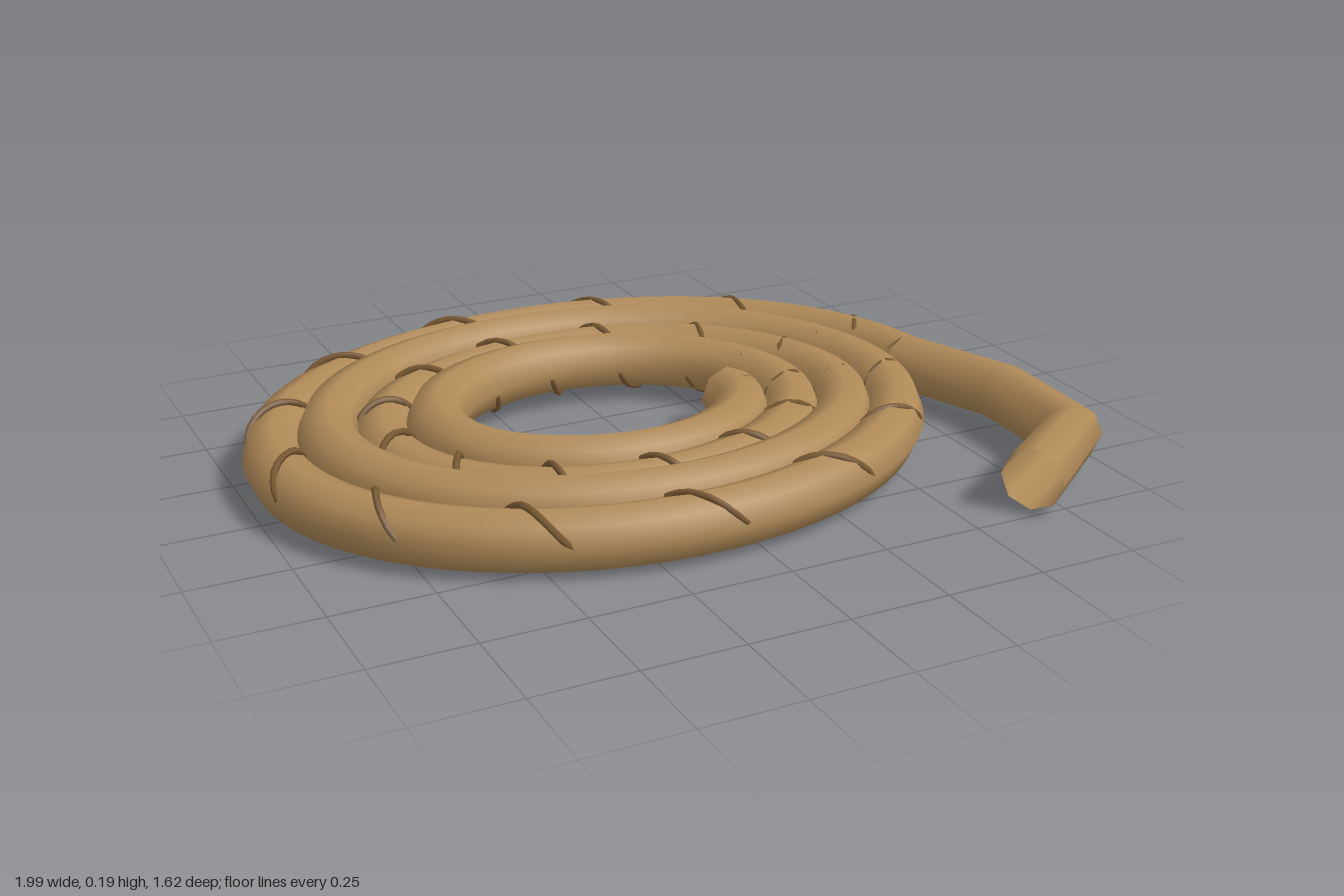
import * as THREE from 'three';

const TURNS = 4, START = 0.354, PITCH = 0.136, SQUASH = 0.8;
const ROPE = 0.076, CX = -0.092, CY = 0.1, CZ = -0.05;

class RuleCurve extends THREE.Curve {
  constructor(rule) {
    super();
    this.rule = rule;
  }
  getPoint(t, target = new THREE.Vector3()) {
    return target.copy(this.rule(t * TURNS * Math.PI * 2));
  }
}

// Squashed flat spiral; each coil bows gently up or down in turn
function spiral(angle, bow = 0.017) {
  const r = START + PITCH * angle / (Math.PI * 2);
  return new THREE.Vector3(
    CX + r * Math.cos(angle),
    CY + bow * Math.sin(angle / 2),
    CZ + r * SQUASH * Math.sin(angle));
}

// Thin strand winding round the level spiral, 13 times per coil
function strandPoint(angle) {
  const twist = 13 * angle - 1.15, R = 0.065;
  const p = spiral(angle, 0);
  p.x += R * Math.cos(twist) * Math.cos(angle);
  p.y += R * Math.sin(twist);
  p.z += R * Math.cos(twist) * Math.sin(angle);
  return p;
}

function tube(name, curve, segments, radius, sides, material) {
  const mesh = new THREE.Mesh(new THREE.TubeGeometry(curve, segments, radius, sides), material);
  mesh.name = name;
  return mesh;
}

export function createModel() {
  const group = new THREE.Group();
  group.name = 'coiledRope';
  const rope = new THREE.MeshStandardMaterial({ color: 0xb08a58, side: THREE.DoubleSide });
  const dark = new THREE.MeshStandardMaterial({ color: 0x7a5a34 });

  // Main coil
  const coil = new RuleCurve(a => spiral(a));
  coil.arcLengthDivisions = 800;
  group.add(tube('coil', coil, 260, ROPE, 8, rope));

  // Twisted strand showing through the surface
  const strand = new RuleCurve(strandPoint);
  strand.arcLengthDivisions = 3000;
  group.add(tube('strand', strand, 1000, 0.009, 5, dark));

  // Loose end with a few coarse bends
  const tail = new THREE.CatmullRomCurve3([
    [0.806, -0.05], [0.917, 0.25], [0.895, 0.575], [0.652, 0.743],
  ].map(([x, z]) => new THREE.Vector3(x, CY, z)));
  group.add(tube('looseEnd', tail, 3, 0.078, 8, rope));

  return group;
}
